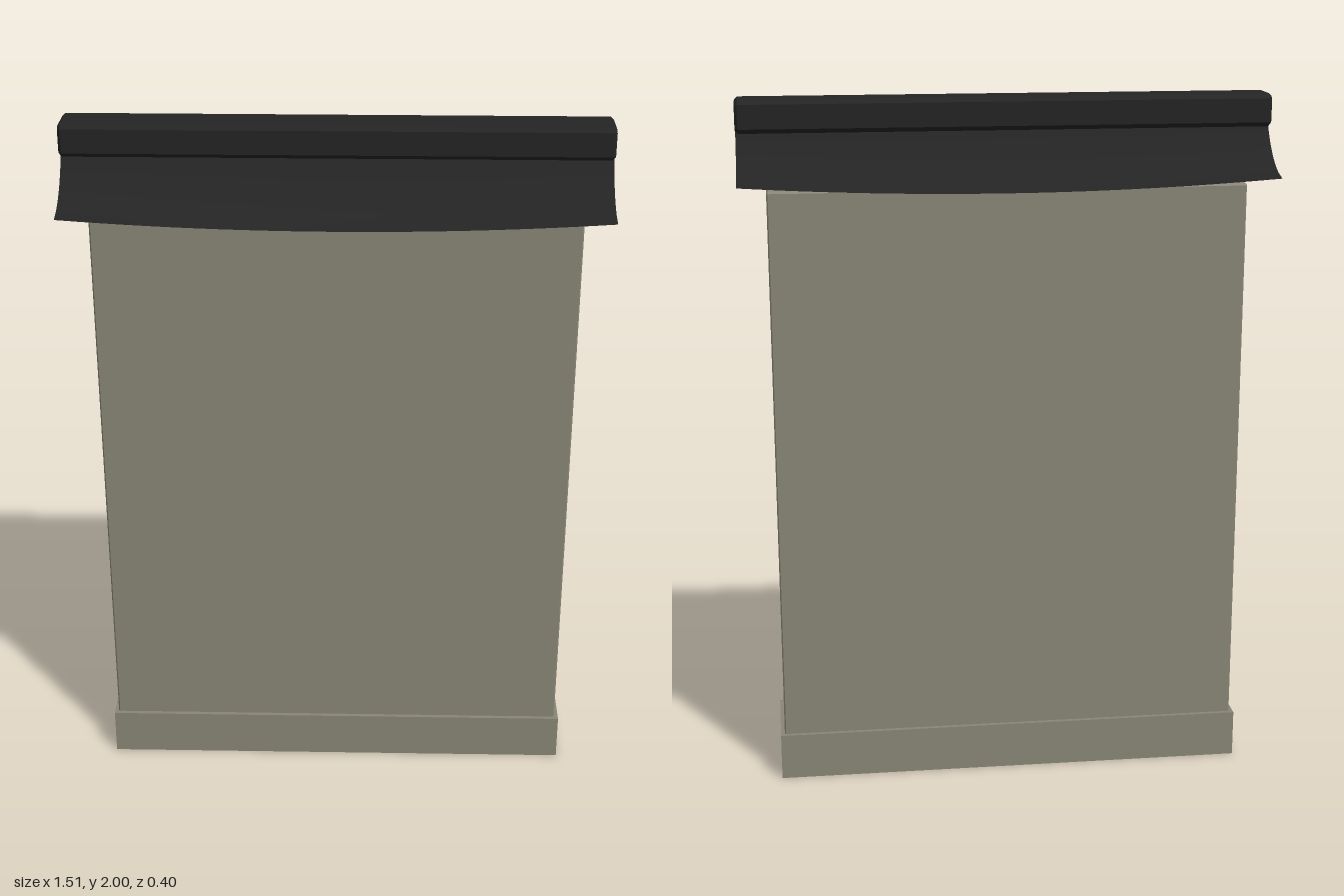
import * as THREE from 'three';

// Box with chamfered edges, built along x, centred on x and z, between two heights
function chamferBox(w, y0, y1, d, c) {
  const a = d / 2 - c, b = (y1 - y0) / 2 - c, k = c;
  const shape = new THREE.Shape([
    [a, -b + k], [a, b - k], [a - k, b], [-a + k, b],
    [-a, b - k], [-a, -b + k], [-a + k, -b], [a - k, -b],
  ].map(([x, y]) => new THREE.Vector2(x, y)));
  const len = w - 2 * c;
  const geo = new THREE.ExtrudeGeometry(shape, {
    depth: len, bevelEnabled: true, bevelThickness: c, bevelSize: c, bevelSegments: 1,
  });
  return geo.translate(0, 0, -len / 2).rotateY(Math.PI / 2).translate(0, (y0 + y1) / 2, 0);
}

// Concave roof sheet whose eave sags towards the middle
function roofSheet() {
  const half = 0.755;
  const curve = new THREE.CatmullRomCurve3([
    [1.925, 0.015], [1.89, 0.035], [1.855, 0.062], [1.82, 0.1], [1.792, 0.15], [1.779, 0.2],
  ].map(([y, z]) => new THREE.Vector3(0, y, z)));
  const geo = new THREE.PlaneGeometry(2 * half, 1, 24, 12);
  const pos = geo.attributes.position;
  for (let i = 0; i < pos.count; i++) {
    const x = pos.getX(i), t = 0.5 - pos.getY(i);
    const p = curve.getPoint(t);
    const sag = 0.027 * t * t * (1 - (x / half) ** 2);
    pos.setXYZ(i, x, p.y - sag, p.z);
  }
  geo.computeVertexNormals();
  return geo;
}

export function createModel() {
  const group = new THREE.Group();
  const stone = new THREE.MeshStandardMaterial({ color: 0x8a8677 });
  stone.name = 'stone';
  const tile = new THREE.MeshStandardMaterial({ color: 0x242424, side: THREE.DoubleSide });
  tile.name = 'darkTile';

  const add = (name, geo, mat) => {
    const mesh = new THREE.Mesh(geo, mat);
    mesh.name = name;
    group.add(mesh);
    return mesh;
  };

  // Plinth and wall
  add('plinth', new THREE.BoxGeometry(1.375, 0.137, 0.263).translate(0, 0.0685, 0), stone);
  add('wall', chamferBox(1.352, 0.12, 1.756, 0.238, 0.004), stone);

  // Ridge beam and the two mirrored roof sheets
  add('ridge', chamferBox(1.512, 1.907, 2, 0.124, 0.008), tile);
  const sheet = roofSheet();
  add('frontRoofSheet', sheet, tile);
  add('backRoofSheet', sheet, tile).rotation.y = Math.PI;

  return group;
}
